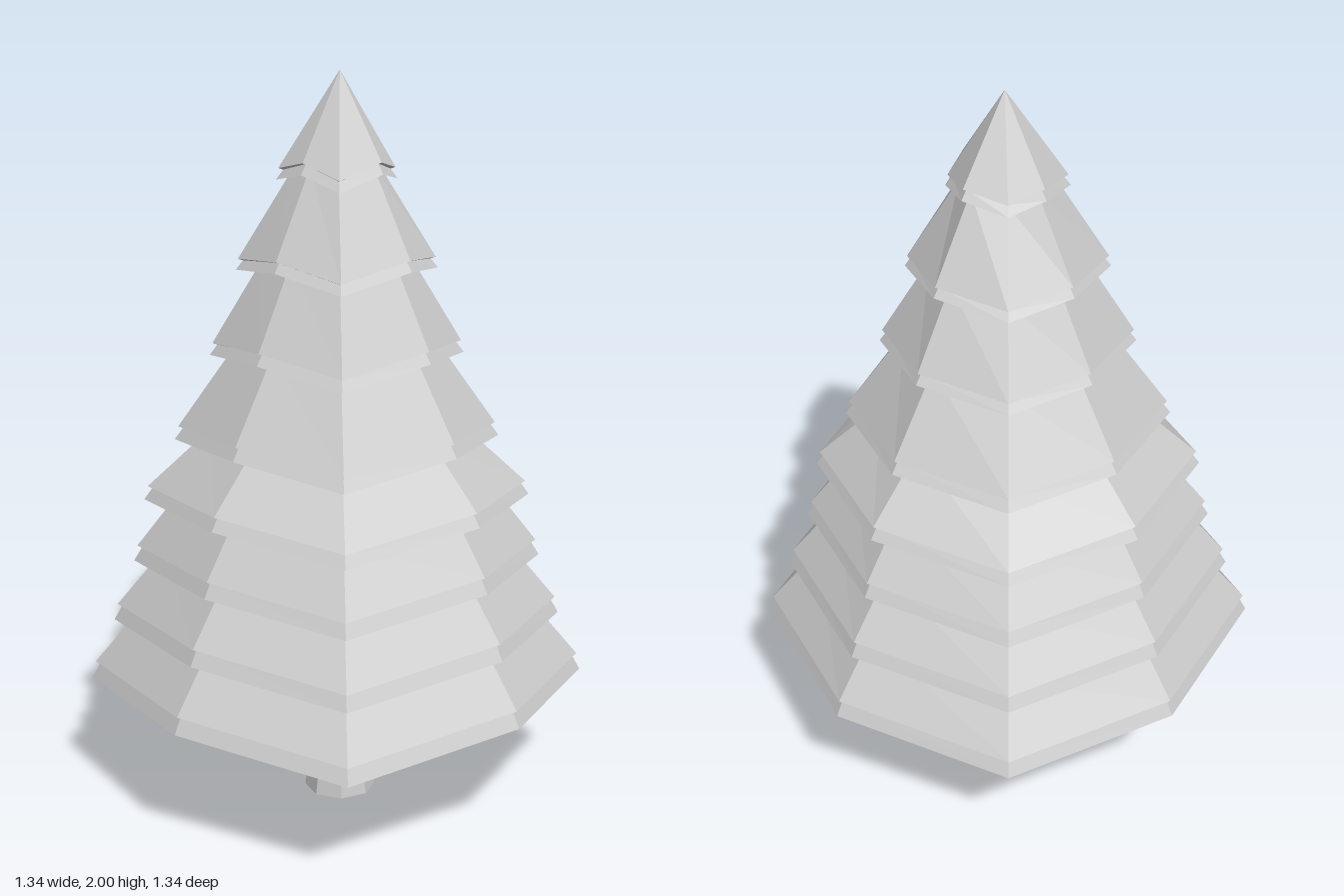
import * as THREE from 'three';

const SIDES = 8;

// Each tier: lower rim, upper rim and the neck tucked under the tier above, as [radius, y]
const TIERS = [
  { low: [0.67, 0.333], high: [0.66, 0.38], neck: [0.53, 0.54] },
  { low: [0.605, 0.505], high: [0.595, 0.55], neck: [0.465, 0.71] },
  { low: [0.547, 0.677], high: [0.537, 0.72], neck: [0.415, 0.88] },
  { low: [0.515, 0.853], high: [0.505, 0.89], neck: [0.335, 1.05] },
  { low: [0.43, 1.022], high: [0.42, 1.058], neck: [0.27, 1.275] },
  { low: [0.333, 1.255], high: [0.326, 1.287], neck: [0.2, 1.5] },
  { low: [0.262, 1.485], high: [0.256, 1.514], neck: [0.122, 1.735] },
  { low: [0.156, 1.722], high: [0.15, 1.752], neck: [0, 2] },
];

function octagonal(profile) {
  return new THREE.LatheGeometry(profile.map(([r, y]) => new THREE.Vector2(r, y)), SIDES);
}

// Pulls the diagonal corners in and up, and shifts them a little off centre
function droopCorners(geometry, profileLength) {
  const pos = geometry.attributes.position;
  for (let i = 0; i < pos.count; i++) {
    const side = Math.floor(i / profileLength);
    const x = pos.getX(i), y = pos.getY(i), z = pos.getZ(i);
    if (Math.hypot(x, z) < 1e-4) {
      pos.setXYZ(i, 0.008, y, -0.02);
    } else if (side % 2 === 1) {
      pos.setXYZ(i, x * 0.94 + 0.01, y + 0.03, z * 0.94 - 0.022);
    }
  }
  return geometry;
}

export function createModel() {
  const tree = new THREE.Group();
  tree.name = 'pineTree';
  const material = new THREE.MeshStandardMaterial({ color: 0xcccccc, flatShading: true });

  const add = (name, geometry) => {
    const mesh = new THREE.Mesh(geometry, material);
    mesh.name = name;
    tree.add(mesh);
    return mesh;
  };

  // Waisted trunk
  const trunk = add('trunk', octagonal([[0, 0], [0.097, 0], [0.07, 0.18], [0.09, 0.37], [0, 0.37]]));
  trunk.position.set(0.008, 0, 0.008);

  // Stacked skirts of branches, each with a double rim
  TIERS.forEach(({ low, high, neck }, i) => {
    const inner = i === 0 ? [0, 0.35] : TIERS[i - 1].neck;
    const notch = [high[0] - 0.013, high[1] - 0.004];
    const profile = [inner, low, notch, high, neck];
    add(`branchTier${i + 1}`, droopCorners(octagonal(profile), profile.length));
  });

  return tree;
}
